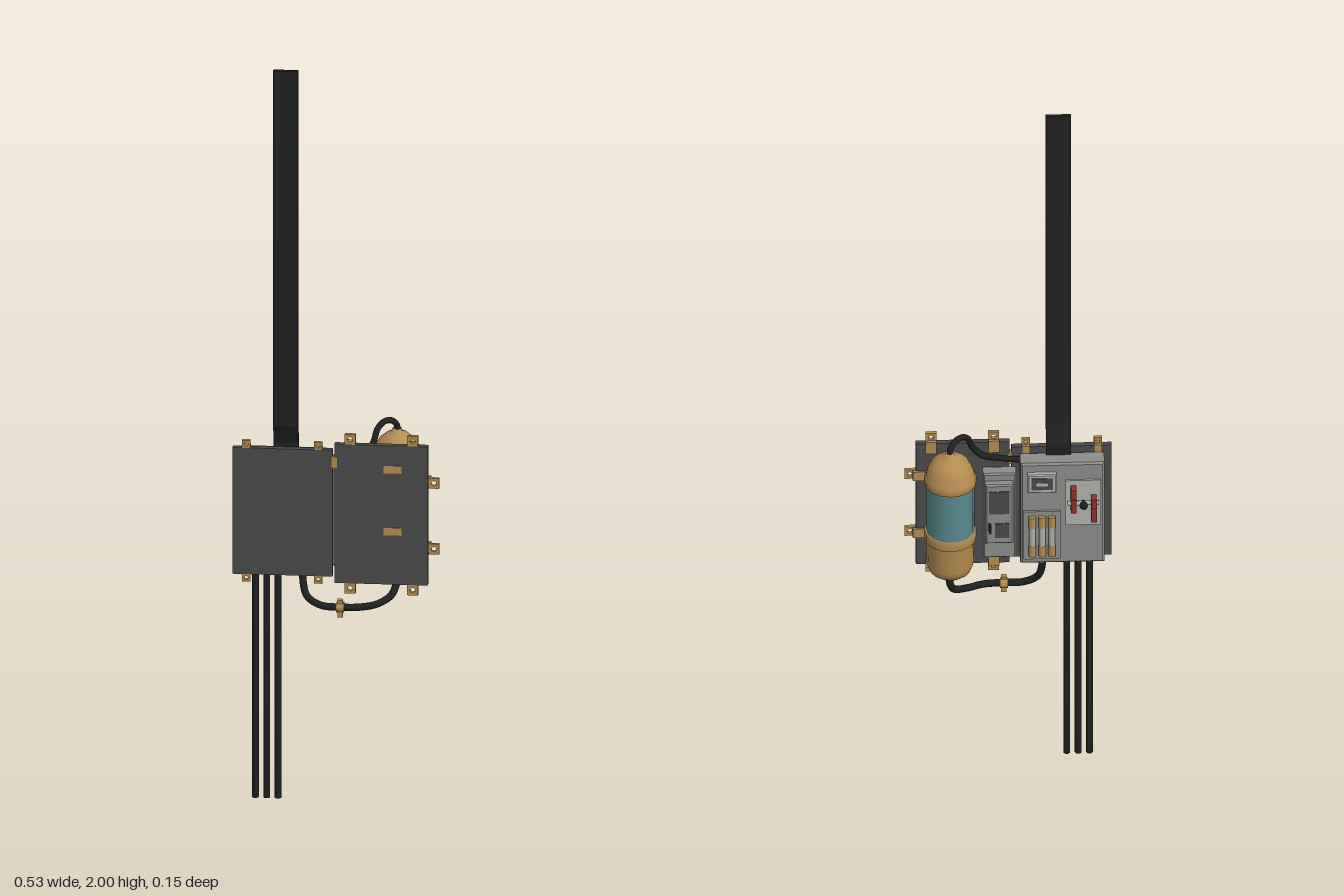
import * as THREE from 'three';

const mat = (name, color, side = THREE.FrontSide) => {
  const m = new THREE.MeshStandardMaterial({ color, side });
  m.name = name;
  return m;
};

export function createModel() {
  const root = new THREE.Group();
  root.name = 'wallUtilityPanel';
  const plateDark = mat('darkPlate', 0x4a4a4a);
  const grey = mat('greyCasing', 0x8c8c8a);
  const brass = mat('brass', 0xb48c50);
  const teal = mat('tealTank', 0x56888a, THREE.DoubleSide);
  const black = mat('blackRubber', 0x202020);
  const red = mat('redHandle', 0x962c2e);
  const steel = mat('lightSteel', 0xb0b0ac);

  const add = (name, geo, material, x = 0, y = 0, z = 0, parent = root) => {
    const m = new THREE.Mesh(geo, material);
    m.name = name;
    m.position.set(x, y, z);
    parent.add(m);
    return m;
  };
  // Box given by its limits on each axis
  const box = (name, material, x0, x1, y0, y1, z0, z1) =>
    add(name, new THREE.BoxGeometry(x1 - x0, y1 - y0, z1 - z0), material,
      (x0 + x1) / 2, (y0 + y1) / 2, (z0 + z1) / 2);
  // Box whose back (-z) face is inset on all sides
  const casing = (name, material, x0, x1, y0, y1, z0, z1, bevel) => {
    const w = (x1 - x0) / 2 - bevel, h = (y1 - y0) / 2 - bevel;
    const s = new THREE.Shape([[-w, -h], [w, -h], [w, h], [-w, h]].map(p => new THREE.Vector2(...p)));
    const g = new THREE.ExtrudeGeometry(s, {
      depth: z1 - z0 - 2 * bevel, bevelEnabled: true, bevelSize: bevel, bevelThickness: bevel, bevelSegments: 1,
    });
    return add(name, g, material, (x0 + x1) / 2, (y0 + y1) / 2, z0 + bevel);
  };
  const tube = (name, material, pts, r, seg = 40) => {
    const curve = new THREE.CatmullRomCurve3(pts.map(p => new THREE.Vector3(...p)), false, 'centripetal');
    return add(name, new THREE.TubeGeometry(curve, seg, r, 10), material);
  };

  // Mounting plates
  box('leftPlate', plateDark, -0.265, -0.009, 0.617, 0.963, 0.055, 0.07);
  box('rightPlate', plateDark, -0.004, 0.235, 0.60, 0.98, 0.055, 0.07);
  box('plateHinge', brass, -0.012, 0.002, 0.915, 0.945, 0.05, 0.0715);

  // Fixing tabs with screw holes
  const tab = (x, y, size, turn) => {
    const a = size / 2;
    const s = new THREE.Shape([[-a, -a], [a, -a], [a, a], [-a, a]].map(p => new THREE.Vector2(...p)));
    s.holes.push(new THREE.Path().absarc(0, 0, size * 0.24, 0, Math.PI * 2, true));
    const g = new THREE.Group();
    g.name = 'fixingTab';
    g.position.set(x, y, 0);
    g.rotation.z = turn;
    add('tabEye', new THREE.ExtrudeGeometry(s, { depth: 0.009, bevelEnabled: false, curveSegments: 8 }), brass, 0, 0, 0.061, g);
    add('tabFoot', new THREE.BoxGeometry(size, size * 1.3, 0.008), brass, 0, -size * 0.9, 0.054, g);
    root.add(g);
  };
  for (const x of [-0.23, -0.046]) {
    tab(x, 0.973, 0.021, 0);
    tab(x, 0.607, 0.021, Math.PI);
  }
  for (const x of [0.036, 0.196]) {
    tab(x, 0.994, 0.028, 0);
    tab(x, 0.586, 0.028, Math.PI);
  }
  for (const y of [0.88, 0.70]) tab(0.25, y, 0.028, -Math.PI / 2);

  // Main casing
  casing('mainCasing', grey, -0.245, -0.03, 0.632, 0.946, 0.003, 0.055, 0.005);

  // Lever switch with two red handles
  box('switchBase', steel, -0.235, -0.145, 0.755, 0.895, -0.002, 0.004);
  const bar = add('switchBar', new THREE.CylinderGeometry(0.006, 0.006, 0.08, 8), steel, -0.19, 0.83, -0.01);
  bar.rotation.z = Math.PI / 2;
  for (const [x, y] of [[-0.217, 0.815], [-0.165, 0.845]]) {
    box('redHandle', red, x - 0.007, x + 0.007, y - 0.036, y + 0.036, -0.027, -0.003);
    const pin = add('handlePin', new THREE.CylinderGeometry(0.008, 0.008, 0.01, 8), red, x, y, -0.023);
    pin.rotation.x = Math.PI / 2;
  }
  const stem = add('leverStem', new THREE.CylinderGeometry(0.004, 0.004, 0.04, 8), black, -0.19, 0.837, -0.022);
  stem.rotation.x = -Math.PI / 2 + 0.35;
  add('leverKnob', new THREE.SphereGeometry(0.011, 12, 8), black, -0.19, 0.844, -0.041);

  // Meter
  casing('meterFrame', steel, -0.122, -0.048, 0.865, 0.922, -0.013, 0.004, 0.003);
  box('meterScreen', plateDark, -0.112, -0.058, 0.876, 0.912, -0.0145, -0.012);
  box('meterReading', steel, -0.1, -0.07, 0.889, 0.898, -0.0155, -0.014);

  // Three fuses with brass ends
  box('fuseBase', grey, -0.132, -0.038, 0.65, 0.80, -0.003, 0.004);
  for (const x of [-0.11, -0.085, -0.06]) {
    add('fuseBody', new THREE.CylinderGeometry(0.0085, 0.0085, 0.06, 10), steel, x, 0.725, -0.006);
    for (const y of [0.68, 0.77])
      add('fuseCap', new THREE.CylinderGeometry(0.01, 0.01, 0.032, 10), brass, x, y, -0.005);
  }

  // Small control casing with screen and pointer
  casing('controlBase', grey, -0.02, 0.065, 0.64, 0.905, 0.02, 0.055, 0.004);
  casing('controlHead', grey, -0.012, 0.06, 0.70, 0.885, -0.002, 0.022, 0.004);
  box('controlScreen', plateDark, -0.002, 0.05, 0.795, 0.865, -0.004, -0.001);
  box('controlVent', plateDark, -0.002, 0.035, 0.72, 0.765, -0.004, -0.001);
  box('controlPointer', black, 0.045, 0.051, 0.74, 0.765, -0.014, 0);

  // Pressure tank
  const TX = 0.15, TZ = -0.01;
  const lathe = (name, material, pts) =>
    add(name, new THREE.LatheGeometry(pts.map(p => new THREE.Vector2(...p)), 16), material, TX, 0, TZ);
  lathe('tankBody', teal, [[0.062, 0.755], [0.062, 0.91]]);
  lathe('tankTop', brass, [[0.062, 0.905], [0.067, 0.905], [0.067, 0.922], [0.063, 0.924], [0.059, 0.945],
    [0.047, 0.968], [0.028, 0.984], [0.013, 0.989], [0.013, 0.997], [0, 0.997]]);
  lathe('tankBottom', brass, [[0, 0.606], [0.014, 0.606], [0.014, 0.615], [0.035, 0.618], [0.052, 0.632],
    [0.061, 0.655], [0.062, 0.73], [0.067, 0.732], [0.067, 0.758], [0.062, 0.758]]);
  for (const y of [0.915, 0.745]) {
    box('tankBracket', brass, 0.122, 0.168, y - 0.01, y + 0.01, 0.045, 0.0715);
  }

  // Hoses
  tube('upperHose', black, [[TX, 0.985, TZ], [TX, 1.005, TZ], [0.138, 1.023, 0.002], [0.12, 1.026, 0.016],
    [0.103, 1.01, 0.032], [0.092, 0.975, 0.045], [0.065, 0.945, 0.048], [0.02, 0.935, 0.048], [-0.035, 0.93, 0.046]], 0.008);
  tube('lowerHose', black, [[TX, 0.615, TZ], [TX, 0.582, TZ + 0.002], [0.138, 0.55, 0.012], [0.105, 0.534, 0.038],
    [0.06, 0.531, 0.058], [0.01, 0.531, 0.062], [-0.04, 0.534, 0.06], [-0.075, 0.555, 0.054],
    [-0.086, 0.59, 0.046], [-0.086, 0.64, 0.042]], 0.0095, 56);
  const clamp = add('hoseClamp', new THREE.CylinderGeometry(0.014, 0.014, 0.02, 10), brass, 0.01, 0.531, 0.061);
  clamp.rotation.z = Math.PI / 2;
  box('clampLug', brass, 0.003, 0.017, 0.505, 0.552, 0.057, 0.069);
  add('hoseSocket', new THREE.CylinderGeometry(0.013, 0.013, 0.022, 10), brass, -0.086, 0.625, 0.042);

  // Hanging cables
  for (const x of [-0.208, -0.179, -0.15]) {
    add('cable', new THREE.CylinderGeometry(0.009, 0.009, 0.64, 10), black, x, 0.32, 0.05);
    add('cableGland', new THREE.CylinderGeometry(0.012, 0.012, 0.022, 8), plateDark, x, 0.622, 0.044);
  }

  // Flat duct that kicks back behind the plate at its lower end
  const duct = new THREE.Shape([[0.041, 0.935], [0.052, 0.935], [0.052, 0.975], [0.072, 1.025], [0.072, 2],
    [0.064, 2], [0.064, 1.03], [0.041, 0.98]].map(p => new THREE.Vector2(...p)));
  const ductGeo = new THREE.ExtrudeGeometry(duct, { depth: 0.064, bevelEnabled: false });
  ductGeo.rotateY(-Math.PI / 2);
  add('flatDuct', ductGeo, black, -0.097, 0, 0);
  return root;
}
